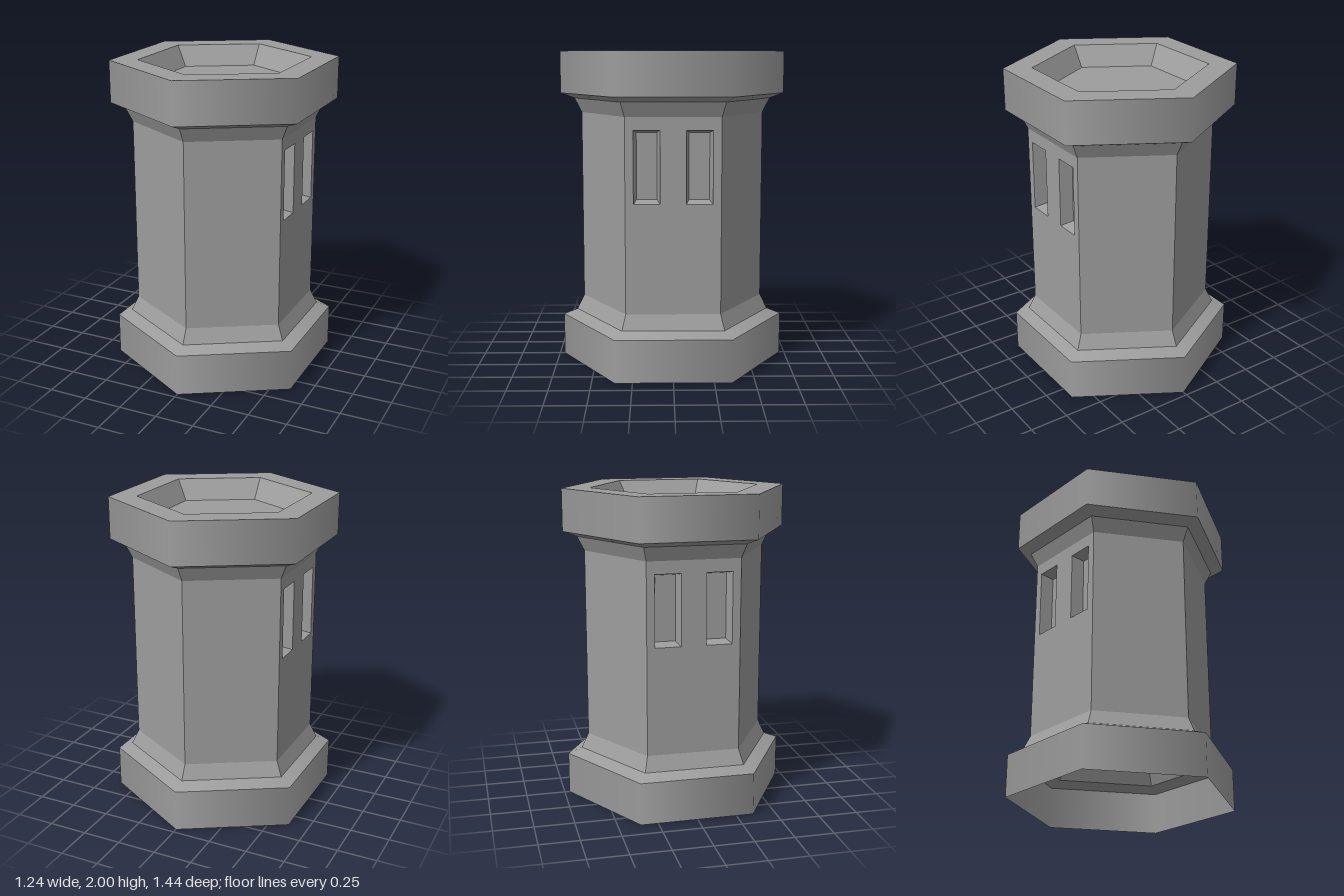
import * as THREE from 'three';

const HEX = 2 / Math.sqrt(3); // corner radius of a hexagon per unit of apothem
const GREY = 0x9d9d9d;
const flat = new THREE.MeshStandardMaterial({ color: GREY, flatShading: true, side: THREE.DoubleSide });
const smooth = new THREE.MeshStandardMaterial({ color: GREY, side: THREE.DoubleSide });

// Apothems of band and body, body height range, and window opening
const BAND = 0.622, BODY = 0.505, LOW = 0.4, HIGH = 1.61;
const WIN = { x: 0.16, y0: 1.082, y1: 1.53, half: 0.081, bevel: 0.018, depth: 0.082 };

// Hexagonal ring from [apothem, height] points; corners point to +z and -z
function hexRing(name, profile, material, start = 0, sides = 6) {
  const pts = profile.map(([a, y]) => new THREE.Vector2(a * HEX, y));
  const geo = new THREE.LatheGeometry(pts, sides, start * Math.PI / 3, sides * Math.PI / 3);
  geo.normalizeNormals(); // even shading across each band
  const mesh = new THREE.Mesh(geo, material);
  mesh.name = name;
  return mesh;
}

// Corners of a window rectangle, counter-clockwise, shrunk by an inset
function corners(cx, inset) {
  const h = WIN.half - inset, y0 = WIN.y0 + inset, y1 = WIN.y1 - inset;
  return [[cx - h, y0], [cx + h, y0], [cx + h, y1], [cx - h, y1]];
}

// Tapered recess behind a window opening: four reveals and a back panel
function windowRecess(cx) {
  const outer = corners(cx, 0).map(([x, y]) => [x, y, 0]);
  const inner = corners(cx, WIN.bevel).map(([x, y]) => [x, y, -WIN.depth]);
  const pos = [];
  const quad = (a, b, c, d) => pos.push(...a, ...b, ...c, ...a, ...c, ...d);
  for (let i = 0; i < 4; i++) {
    const j = (i + 1) % 4;
    quad(outer[i], outer[j], inner[j], inner[i]);
  }
  quad(...inner);
  const geo = new THREE.BufferGeometry();
  geo.setAttribute('position', new THREE.Float32BufferAttribute(pos, 3));
  geo.computeVertexNormals();
  const mesh = new THREE.Mesh(geo, flat);
  mesh.name = 'windowRecess';
  return mesh;
}

// Side wall pierced by two windows, turned to face +x or -x
function windowWall(side) {
  const wall = new THREE.Group();
  wall.name = side > 0 ? 'leftWindowWall' : 'rightWindowWall';
  const w = BODY * HEX / 2;
  const v = ([x, y]) => new THREE.Vector2(x, y);
  const shape = new THREE.Shape([[-w, LOW], [w, LOW], [w, HIGH], [-w, HIGH]].map(v));
  for (const cx of [-WIN.x, WIN.x]) {
    shape.holes.push(new THREE.Path(corners(cx, 0).reverse().map(v)));
    wall.add(windowRecess(cx));
  }
  const panel = new THREE.Mesh(new THREE.ShapeGeometry(shape), flat);
  panel.name = 'wallPanel';
  wall.add(panel);
  wall.rotation.y = side * Math.PI / 2;
  wall.position.x = side * BODY;
  return wall;
}

export function createModel() {
  const tower = new THREE.Group();
  tower.name = 'tower';
  tower.add(
    // Base, open underneath
    hexRing('baseBand', [[BAND, 0], [BAND, 0.27]], smooth),
    hexRing('baseLedge', [[BAND, 0.27], [0.545, 0.305]], smooth),
    hexRing('baseFlare', [[0.545, 0.305], [BODY, LOW]], flat),
    // Body: plain walls front and back, windowed walls at the sides
    hexRing('backWalls', [[BODY, LOW], [BODY, HIGH]], flat, 2, 2),
    hexRing('frontWalls', [[BODY, LOW], [BODY, HIGH]], flat, 5, 2),
    windowWall(1),
    windowWall(-1),
    // Crown
    hexRing('crownFlare', [[BODY, HIGH], [0.545, 1.7]], flat),
    hexRing('crownLedge', [[0.545, 1.7], [BAND, 1.733]], smooth),
    hexRing('crownBand', [[BAND, 1.733], [BAND, 2]], smooth),
    // Roof rim and sunken basin
    hexRing('roofRim', [[BAND, 2], [0.47, 2]], flat),
    hexRing('basinSlope', [[0.47, 2], [0.393, 1.872]], flat),
    hexRing('basinFloor', [[0.393, 1.872], [0, 1.872]], flat),
  );
  return tower;
}
